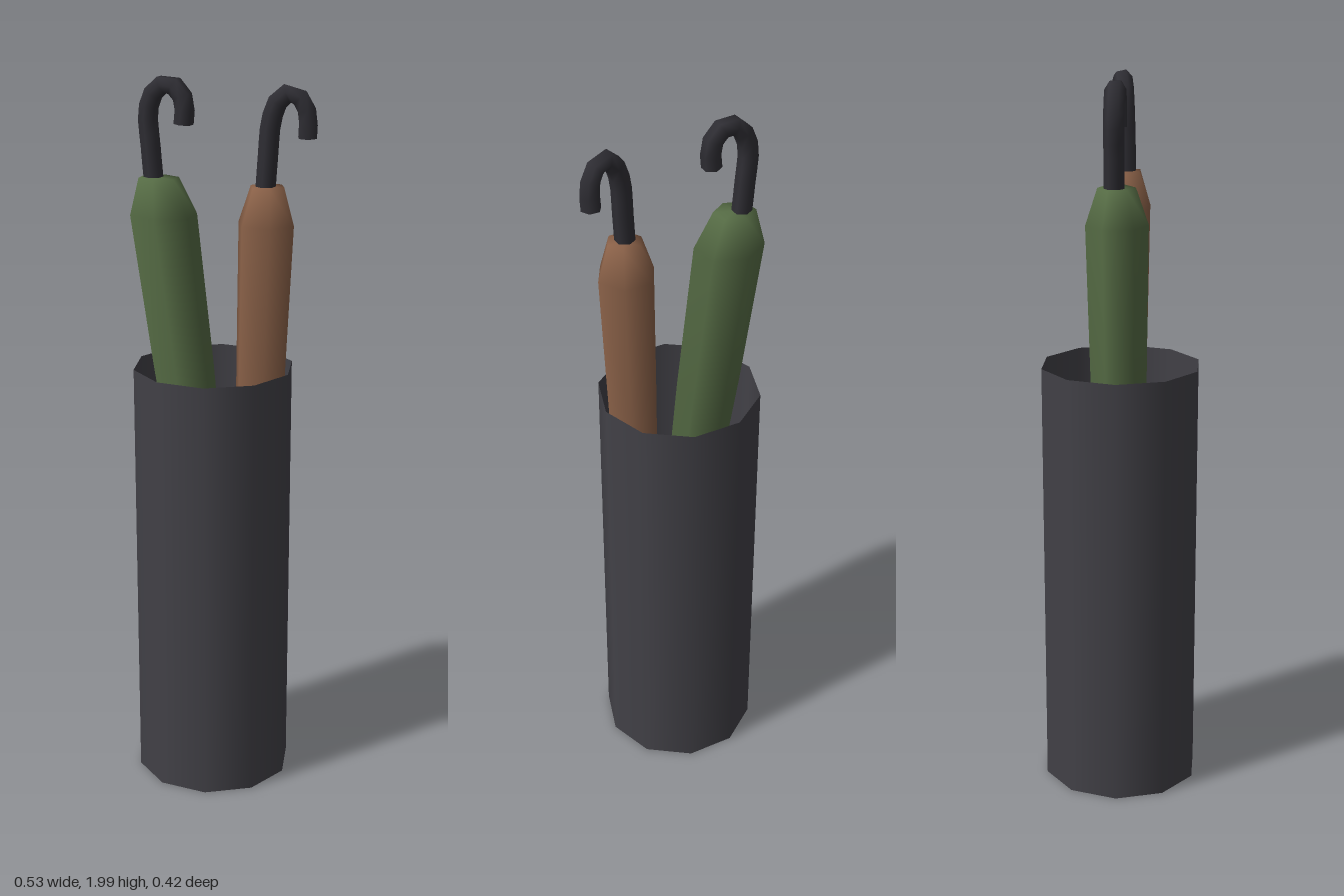
import * as THREE from 'three';

const flat = (name, color, side = THREE.FrontSide) => {
  const m = new THREE.MeshStandardMaterial({ color, side });
  m.name = name;
  return m;
};

export function createModel() {
  const model = new THREE.Group();
  model.name = 'umbrellaStand';
  const charcoal = flat('charcoal', 0x424147, THREE.DoubleSide);
  const black = flat('black', 0x2f2e34);
  const green = flat('green', 0x566c45);
  const brown = flat('brown', 0x8a6148);

  const add = (parent, name, geometry, material) => {
    const mesh = new THREE.Mesh(geometry, material);
    mesh.name = name;
    parent.add(mesh);
    return mesh;
  };

  // Open ten-sided bin with a floor
  const bin = new THREE.Group();
  bin.name = 'bin';
  bin.position.x = -0.025;
  model.add(bin);
  const wall = new THREE.CylinderGeometry(0.223, 0.22, 1.21, 10, 1, true, Math.PI / 2);
  add(bin, 'binWall', wall.translate(0, 0.605, 0), charcoal);
  const floor = new THREE.CircleGeometry(0.22, 10).rotateX(-Math.PI / 2);
  add(bin, 'binFloor', floor.translate(0, 0.005, 0), charcoal);

  // Folded umbrella: six-sided canopy leaning in x, with a hooked handle
  const umbrella = (name, { cloth, profile, turn, stretch, baseX, lean, hook }) => {
    const group = new THREE.Group();
    group.name = name;
    model.add(group);

    const points = profile.map(([r, y]) => new THREE.Vector2(r, y));
    const canopy = new THREE.LatheGeometry(points, 6, turn);
    canopy.scale(stretch, 1, 1);
    const pos = canopy.attributes.position;
    for (let i = 0; i < pos.count; i++) {
      pos.setX(i, pos.getX(i) + baseX + lean * pos.getY(i));
    }
    add(group, 'canopy', canopy, cloth);

    const curve = new THREE.CatmullRomCurve3(hook.map((p) => new THREE.Vector3(...p)));
    add(group, 'handle', new THREE.TubeGeometry(curve, 12, 0.027, 6), black);
    const cap = add(group, 'handleEnd', new THREE.CircleGeometry(0.027, 6), black);
    const end = curve.getPoint(1);
    cap.position.copy(end);
    cap.lookAt(end.clone().add(curve.getTangent(1)));
  };

  umbrella('greenUmbrella', {
    cloth: green,
    profile: [[0, 0.03], [0.022, 0.03], [0.05, 0.4], [0.076, 1.2], [0.083, 1.62], [0.05, 1.72], [0, 1.72]],
    turn: 0.12, stretch: 1.16, baseX: 0.05, lean: -0.138,
    hook: [
      [-0.203, 1.69, -0.005], [-0.213, 1.8, -0.005], [-0.219, 1.9, -0.005], [-0.197, 1.953, -0.005],
      [-0.16, 1.973, -0.005], [-0.126, 1.955, -0.005], [-0.111, 1.92, -0.005], [-0.114, 1.867, -0.005],
    ],
  });

  umbrella('brownUmbrella', {
    cloth: brown,
    profile: [[0, 0.03], [0.03, 0.03], [0.05, 0.4], [0.072, 1.2], [0.08, 1.62], [0.048, 1.72], [0, 1.72]],
    turn: Math.PI / 6, stretch: 1, baseX: 0.078, lean: 0.032,
    hook: [
      [0.128, 1.69, 0.005], [0.135, 1.8, 0.003], [0.142, 1.89, 0], [0.16, 1.944, -0.004],
      [0.19, 1.966, -0.01], [0.22, 1.95, -0.017], [0.236, 1.91, -0.022], [0.235, 1.85, -0.024],
    ],
  });

  return model;
}
